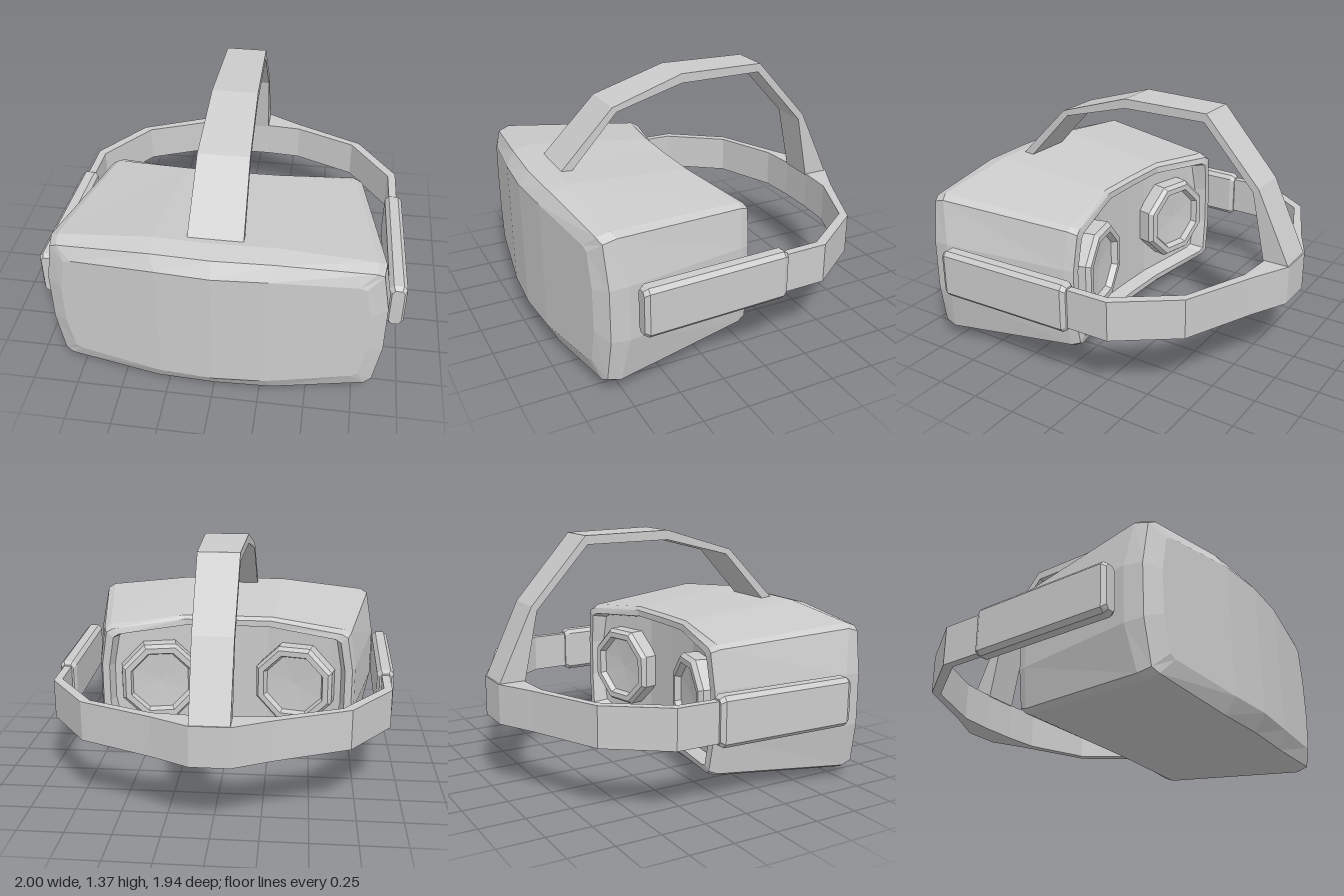
import * as THREE from 'three';

const material = new THREE.MeshStandardMaterial({ color: 0xcccccc, flatShading: true, side: THREE.DoubleSide });

// Skin a list of equal-sized rings (clockwise seen from the first ring) and close both ends.
function loft(name, rings) {
  const n = rings[0].length;
  const index = [];
  const quad = (a, b, c, d) => index.push(a, b, c, a, c, d);
  for (let k = 0; k < rings.length - 1; k++) {
    for (let i = 0; i < n; i++) {
      const j = (i + 1) % n;
      quad(k * n + i, k * n + j, (k + 1) * n + j, (k + 1) * n + i);
    }
  }
  const last = (rings.length - 1) * n;
  for (let i = 0; i < n / 2 - 1; i++) {
    quad(i, n - 1 - i, n - 2 - i, i + 1);
    quad(last + i, last + i + 1, last + n - 2 - i, last + n - 1 - i);
  }
  const geometry = new THREE.BufferGeometry();
  geometry.setAttribute('position', new THREE.Float32BufferAttribute(rings.flat(2), 3));
  geometry.setIndex(index);
  geometry.computeVertexNormals();
  const mesh = new THREE.Mesh(geometry, material);
  mesh.name = name;
  return mesh;
}

// Headset outline: normalised columns from the centre to the side.
const outline = [[0, 1], [0.35, 1], [0.91, 0.89], [0.955, 0.84], [1, 0.32]];

function shellRing(halfWidth, halfHeight, centreY, depths) {
  const ring = [];
  for (const up of [1, -1]) {
    for (let j = -4; j <= 4; j++) {
      const column = Math.abs(j);
      const [u, v] = outline[column];
      ring.push([Math.sign(j) * up * u * halfWidth, centreY + up * v * halfHeight, depths[column]]);
    }
  }
  return ring;
}

function makeShell() {
  const rim = [0.075, 0.07, -0.03, -0.038, -0.03];
  const floor = [0.16, 0.155, 0.06, 0.05, 0.04];
  return loft('headsetShell', [
    shellRing(0.81, 0.36, 0.48, [0.968, 0.95, 0.885, 0.88, 0.875]),  // front face
    shellRing(0.895, 0.445, 0.47, [0.912, 0.90, 0.845, 0.83, 0.82]), // front bevel
    shellRing(0.905, 0.468, 0.472, [0.81, 0.80, 0.78, 0.76, 0.72]),  // widest line
    shellRing(0.762, 0.405, 0.465, [0.095, 0.09, 0.01, 0.01, 0.02]), // back edge
    shellRing(0.742, 0.385, 0.465, rim),                             // rim
    shellRing(0.70, 0.35, 0.465, rim),                               // rim, inside
    shellRing(0.68, 0.335, 0.465, floor),                            // recessed panel
  ]);
}

// Octagonal eyepiece with a raised bezel and a sunken glass.
function makeLens(side) {
  const profile = [[0.25, -0.17], [0.25, -0.025], [0.23, 0], [0.195, 0], [0.18, -0.035], [0, -0.045]]
    .map(([r, y]) => new THREE.Vector2(r, y));
  const lens = new THREE.Mesh(new THREE.LatheGeometry(profile, 8, Math.PI / 8), material);
  lens.name = side > 0 ? 'leftLens' : 'rightLens';
  lens.position.set(side * 0.395, 0.47, 0.005);
  const facing = new THREE.Vector3(-0.23 * side, 0, -1).normalize();
  // Keep the flats of the octagon level
  const across = new THREE.Vector3(0, 1, 0);
  const basis = new THREE.Matrix4().makeBasis(across, facing, across.clone().cross(facing));
  lens.quaternion.setFromRotationMatrix(basis);
  return lens;
}

// Bevelled side arm, leaning slightly inwards to the back.
function makeArm(side) {
  const section = [[-1, 0.83], [-0.55, 1], [0.55, 1], [1, 0.83], [1, -0.83], [0.55, -1], [-0.55, -1], [-1, -0.83]];
  const stations = [[0.68, 0.7, 0.88], [0.655, 1, 1], [-0.115, 1, 1], [-0.14, 0.7, 0.88]]; // z, width, height
  const rings = stations.map(([z, w, h]) => section.map(([u, v]) =>
    [side * (0.929 + 0.032 * z) + u * w * 0.048, 0.495 + v * h * 0.135, z]));
  return loft(side > 0 ? 'leftArm' : 'rightArm', rings);
}

// Band around the back of the head.
function makeBackStrap() {
  const half = [ // outer x, z, inner x, z
    [0.947, -0.08, 0.903, -0.08], [0.94, -0.38, 0.895, -0.355], [0.71, -0.695, 0.665, -0.67],
    [0.31, -0.87, 0.31, -0.815], [0.105, -0.975, 0.105, -0.83],
  ];
  const path = [...half, ...half.map(([a, b, c, d]) => [-a, b, -c, d]).reverse()];
  const top = 0.605, bottom = 0.385;
  return loft('backStrap', path.map(([ox, oz, ix, iz]) =>
    [[ix, top, iz], [ox, top, oz], [ox, bottom, oz], [ix, bottom, iz]]));
}

// Band over the head, tapering to the back.
function makeTopStrap() {
  const path = [ // half width, outer z, y, inner z, y
    [0.145, 0.79, 0.92, 0.74, 0.9], [0.137, 0.47, 1.243, 0.445, 1.215], [0.125, 0.05, 1.372, 0.05, 1.318],
    [0.113, -0.457, 1.364, -0.445, 1.315], [0.108, -0.777, 1.005, -0.746, 0.98], [0.104, -0.97, 0.6, -0.824, 0.6],
  ];
  return loft('topStrap', path.map(([w, oz, oy, iz, iy]) =>
    [[-w, oy, oz], [w, oy, oz], [w, iy, iz], [-w, iy, iz]]));
}

export function createModel() {
  const model = new THREE.Group();
  model.name = 'headset';
  model.add(makeShell(), makeBackStrap(), makeTopStrap());
  for (const side of [1, -1]) model.add(makeLens(side), makeArm(side));
  return model;
}
